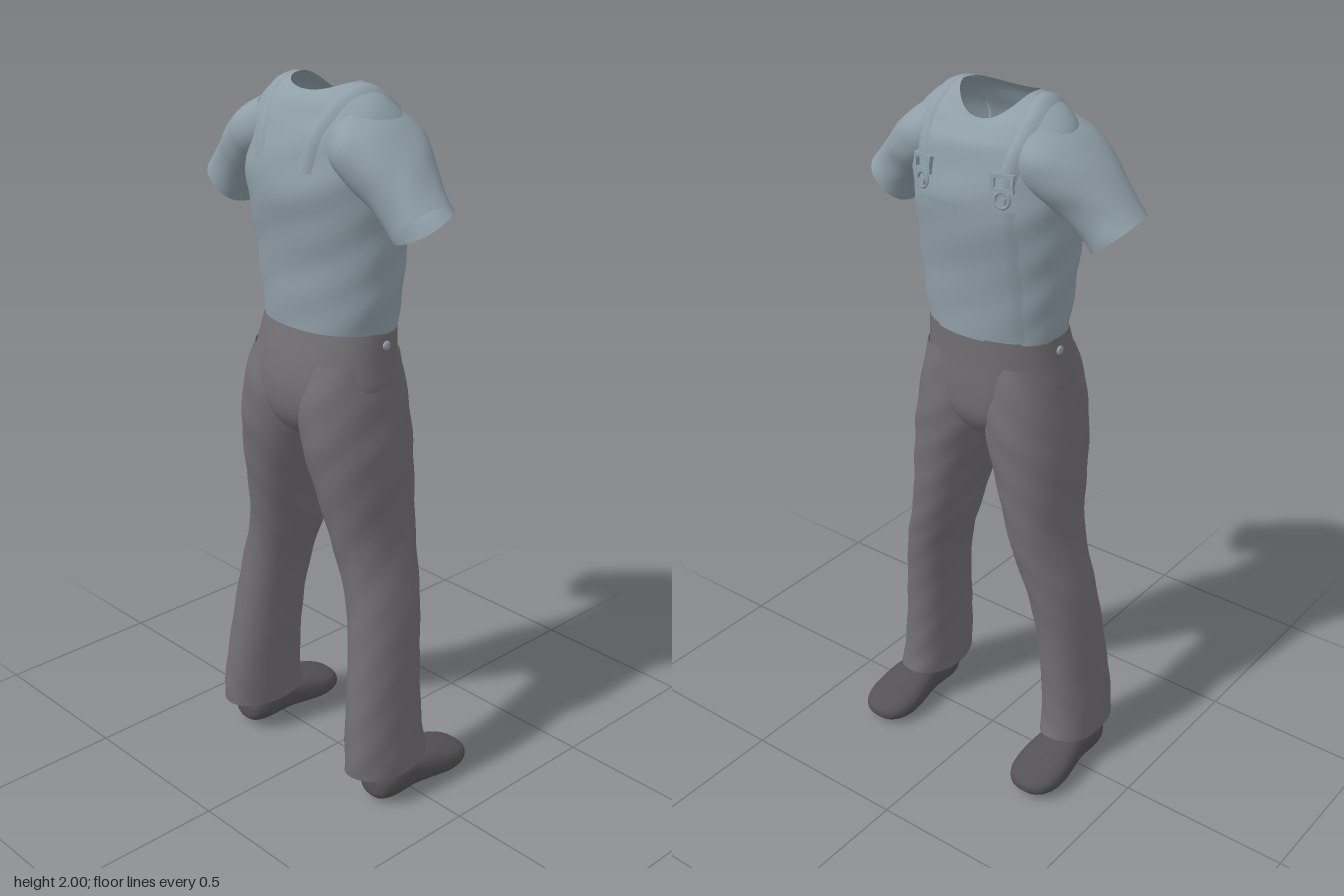
import * as THREE from 'three';

const mat = (name, color, side = THREE.DoubleSide) => {
  const m = new THREE.MeshStandardMaterial({ color, side });
  m.name = name;
  return m;
};

// Smooth loft along y. Each row is [y, x0, x1, z0, z1, tilt]; tilt lowers the front of the ring.
function loft(rows, { sides = 40, steps = 4, power = 2.2, fold = 0, caps = false } = {}) {
  const at = (k, f, c) => {
    const p = (i) => rows[Math.min(Math.max(i, 0), rows.length - 1)][c] ?? 0;
    const [a, b, d, e] = [p(k - 1), p(k), p(k + 1), p(k + 2)];
    return b + 0.5 * f * (d - a + f * (2 * a - 5 * b + 4 * d - e + f * (3 * (b - d) + e - a)));
  };
  const pos = [], idx = [], n = (rows.length - 1) * steps;
  const bend = (v) => Math.sign(v) * Math.abs(v) ** (2 / power);
  for (let j = 0; j <= n; j++) {
    const k = Math.min(Math.floor(j / steps), rows.length - 2), f = j / steps - k;
    const [y, x0, x1, z0, z1, tilt] = [0, 1, 2, 3, 4, 5].map((c) => at(k, f, c));
    for (let i = 0; i < sides; i++) {
      const t = (i / sides) * Math.PI * 2, c = Math.cos(t), s = Math.sin(t);
      const r = 1 + fold * Math.sin(3 * t + y * 17) * Math.sin(y * 31 + 2 * t);
      pos.push((x0 + x1) / 2 + ((x1 - x0) / 2) * bend(c) * r,
        y - tilt * c * c * (c > 0 ? 1 : 0.35),
        (z0 + z1) / 2 + ((z1 - z0) / 2) * bend(s) * r);
      if (j < n) {
        const a = j * sides + i, b = j * sides + ((i + 1) % sides);
        idx.push(a, a + sides, b, b, a + sides, b + sides);
      }
    }
  }
  if (caps) for (const [j, row] of [[0, rows[0]], [n, rows[rows.length - 1]]]) {
    const m = pos.length / 3;
    pos.push((row[1] + row[2]) / 2, row[0], (row[3] + row[4]) / 2);
    for (let i = 0; i < sides; i++) {
      const a = j * sides + i, b = j * sides + ((i + 1) % sides);
      idx.push(...(j ? [m, b, a] : [m, a, b]));
    }
  }
  return finish(pos, idx);
}

function finish(pos, idx) {
  const g = new THREE.BufferGeometry();
  g.setAttribute('position', new THREE.Float32BufferAttribute(pos, 3));
  g.setIndex(idx);
  g.computeVertexNormals();
  return g;
}

// Reflected copy across the body's middle plane, with corners reordered
function mirrorZ(geo) {
  const p = Array.from(geo.attributes.position.array, (v, i) => (i % 3 === 2 ? -v : v));
  const q = Array.from(geo.index.array);
  for (let i = 0; i < q.length; i += 3) [q[i], q[i + 1]] = [q[i + 1], q[i]];
  return finish(p, q);
}

// Thin cloth patch laid on a mesh: ray(u, v) gives [point inside, outward direction]
function patch(target, ray, nu, nv, lift) {
  const caster = new THREE.Raycaster(), pos = [], idx = [];
  for (let j = 0; j <= nv; j++) for (let i = 0; i <= nu; i++) {
    const [o, d] = ray(i / nu, j / nv);
    caster.set(o.clone().add(d), d.clone().negate());
    const hit = caster.intersectObject(target)[0];
    // patch rim touches the cloth beneath
    const rim = i === 0 || i === nu ? -0.001 : lift;
    const p = (hit ? hit.point : o.clone()).addScaledVector(d, rim);
    pos.push(p.x, p.y, p.z);
    if (i < nu && j < nv) {
      const a = j * (nu + 1) + i, b = a + nu + 1;
      idx.push(a, b, a + 1, a + 1, b, b + 1);
    }
  }
  return finish(pos, idx);
}

export function createModel() {
  const group = new THREE.Group();
  const shirt = mat('shirtBlueGrey', 0x8f9fa8);
  const cloth = mat('trouserGrey', 0x716e72);
  const leather = mat('shoeDarkGrey', 0x545254);
  const add = (name, geo, material) => {
    const m = new THREE.Mesh(geo, material);
    m.name = name;
    group.add(m);
    return m;
  };
  const pair = (name, geo, material) => {
    add(name + 'Left', geo, material);
    add(name + 'Right', mirrorZ(geo), material);
  };

  // Shirt body, open at the waist and neck
  const torso = add('shirtBody', loft([
    [1.36, -0.17, 0.113, 0.2, 0], [1.45, -0.175, 0.118, 0.216, 0],
    [1.55, -0.18, 0.127, 0.226, 0], [1.65, -0.198, 0.142, 0.233, 0],
    [1.74, -0.214, 0.148, 0.24, 0], [1.82, -0.2, 0.132, 0.247, 0],
    [1.88, -0.18, 0.118, 0.243, 0], [1.925, -0.16, 0.1, 0.225, 0.02],
    [1.965, -0.14, 0.078, 0.185, 0.035], [1.99, -0.122, 0.062, 0.135, 0.055],
    [2.0, -0.113, 0.054, 0.105, 0.065],
  ].map(([y, x0, x1, h, tilt]) => [y, x0, x1, -h, h, tilt]), { sides: 56, fold: 0.018 }), shirt);

  // Short sleeves, modelled straight and then swung outward and down
  pair('sleeve', loft([
    [-0.09, -0.15, 0.08, -0.06, 0.07], [-0.025, -0.185, 0.105, -0.08, 0.09],
    [0.05, -0.172, 0.088, -0.087, 0.085], [0.12, -0.15, 0.058, -0.085, 0.074],
    [0.18, -0.138, 0.042, -0.08, 0.075], [0.223, -0.135, 0.04, -0.078, 0.078],
  ], { fold: 0.015 }).rotateX(Math.PI * 0.75).translate(0, 1.84, 0.2), shirt);

  // Bib panel on the chest
  const X = new THREE.Vector3(1, 0, 0);
  add('bib', patch(torso, (u, v) => [
    new THREE.Vector3(-0.03, 1.37 + 0.37 * v, 0.16 - 0.32 * u), X], 20, 14, 0.005), shirt);

  // Straps over the shoulders, closer together at the back
  pair('strap', patch(torso, (u, v) => {
    const a = -0.1 + v * 3.3;
    const z = 0.125 + 0.028 * Math.sin(Math.min(v * 1.25, 1) * Math.PI) - 0.04 * v * v;
    return [new THREE.Vector3(-0.04, 1.8, z + 0.022 - 0.044 * u),
      new THREE.Vector3(Math.cos(a), Math.sin(a), 0)];
  }, 4, 28, 0.007), shirt);

  // Buckles: a square frame above a round button loop
  for (const s of [1, -1]) {
    const buckle = new THREE.Group();
    buckle.name = s > 0 ? 'buckleLeft' : 'buckleRight';
    const part = (name, geo, y, z) => {
      const m = new THREE.Mesh(geo, shirt);
      m.name = name;
      m.position.set(0, y, z);
      buckle.add(m);
    };
    for (const k of [1, -1]) {
      part('frameBar', new THREE.BoxGeometry(0.012, 0.01, 0.064), 0.018 + k * 0.018, 0);
      part('frameSide', new THREE.BoxGeometry(0.012, 0.04, 0.009), 0.018, k * 0.026);
    }
    part('loop', new THREE.TorusGeometry(0.02, 0.005, 8, 20).rotateY(Math.PI / 2), -0.025, 0);
    part('button', new THREE.CylinderGeometry(0.011, 0.011, 0.012, 16).rotateZ(Math.PI / 2), -0.03, 0);
    buckle.position.set(0.125, 1.795, s * 0.125);
    buckle.rotation.set(0, -s * 0.2, 0.08);
    group.add(buckle);
  }

  // Trouser seat
  add('trouserSeat', loft([
    [1.025, -0.08, 0.02, 0.025], [1.06, -0.15, 0.07, 0.085], [1.12, -0.2, 0.108, 0.17],
    [1.2, -0.213, 0.116, 0.217], [1.28, -0.2, 0.114, 0.21], [1.365, -0.171, 0.114, 0.201],
  ].map(([y, x0, x1, h]) => [y, x0, x1, -h, h]), { sides: 48 }), cloth);

  // Trouser legs, spreading and flaring to open hems
  pair('trouserLeg', loft([
    [0.1, -0.2, 0.075, 0.185, 0.347, -0.02], [0.18, -0.197, 0.063, 0.183, 0.343],
    [0.3, -0.185, 0.058, 0.177, 0.333], [0.45, -0.165, 0.062, 0.163, 0.32],
    [0.6, -0.147, 0.083, 0.135, 0.298], [0.7, -0.148, 0.1, 0.105, 0.272],
    [0.8, -0.165, 0.11, 0.08, 0.254], [0.92, -0.19, 0.115, 0.045, 0.249],
    [1.03, -0.207, 0.121, 0.01, 0.244], [1.1, -0.213, 0.123, 0, 0.235],
    [1.2, -0.208, 0.112, 0, 0.221], [1.29, -0.18, 0.095, 0.02, 0.198],
  ], { fold: 0.02 }), cloth);

  // Side buttons at the waist
  pair('hipButton', new THREE.SphereGeometry(0.013, 14, 10).scale(1, 1, 0.5)
    .translate(-0.02, 1.33, 0.207), shirt);

  // Shoes, lofted heel to toe: [x, bottom, top, half width]
  pair('shoe', loft([
    [-0.135, 0.03, 0.075, 0.028], [-0.122, 0.012, 0.1, 0.05], [-0.08, 0.005, 0.12, 0.064],
    [0, 0.006, 0.12, 0.064], [0.06, 0.004, 0.112, 0.074], [0.12, 0, 0.095, 0.08],
    [0.17, 0.004, 0.08, 0.074], [0.205, 0.013, 0.064, 0.052], [0.221, 0.028, 0.046, 0.018],
  ].map(([x, lo, hi, w]) => [x, -hi, -lo, -w, w]), { sides: 32, power: 2.4, caps: true })
    .rotateZ(-Math.PI / 2).translate(0, 0, 0.277), leather);

  return group;
}
